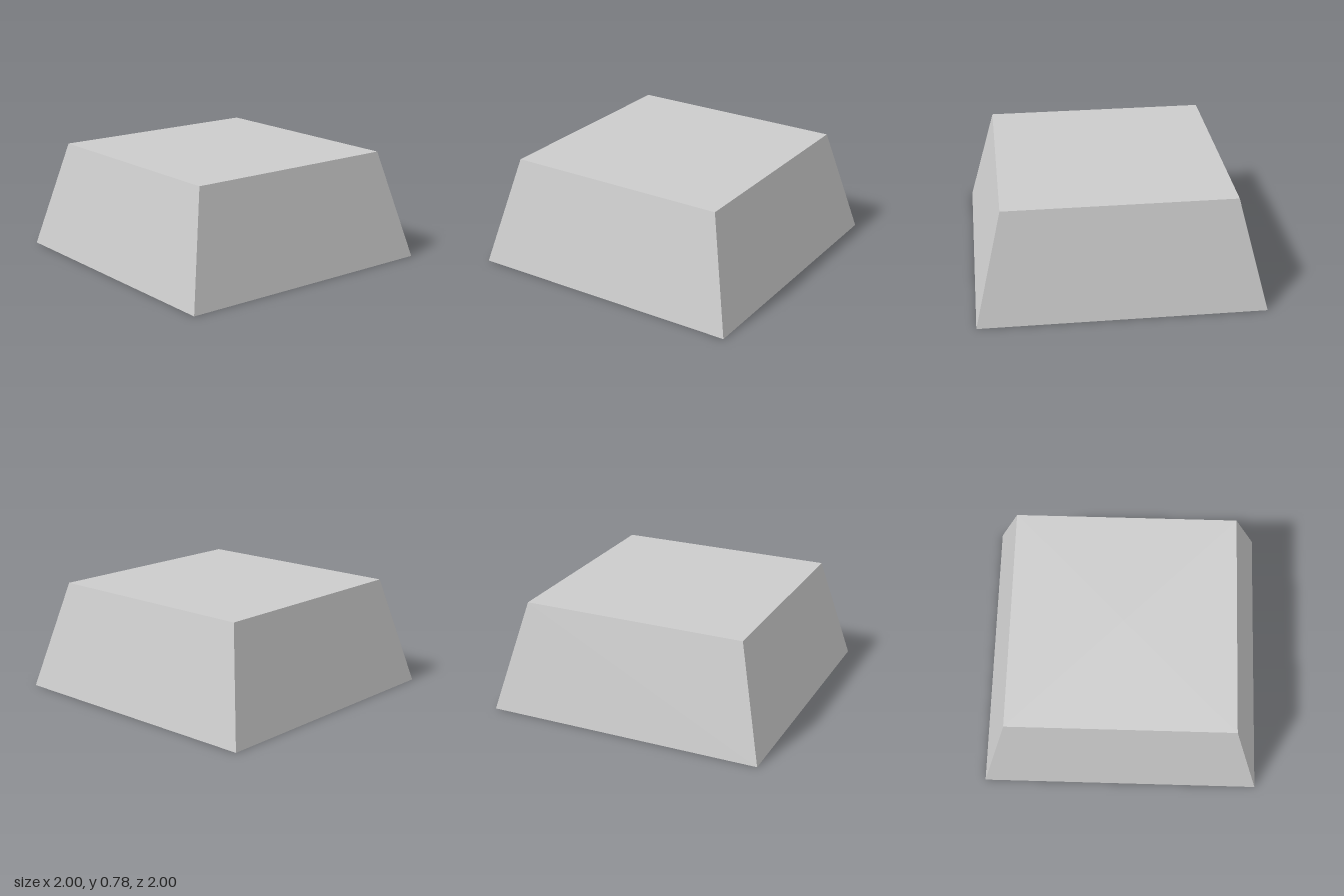
import * as THREE from 'three';
import { toCreasedNormals } from 'three/addons/utils/BufferGeometryUtils.js';

const HEIGHT = 0.78, CEILING = 0.63, STEM_BASE = 0.18;

// Hollow square frustum: a four-sided lathe, profile given as [half width, y]
function shellGeometry() {
  const profile = [
    [0, CEILING], [0.68, CEILING], [0.845, 0],   // inside
    [1, 0], [0.805, HEIGHT], [0, HEIGHT],        // rim and outside
  ].map(([half, y]) => new THREE.Vector2(half * Math.SQRT2, y));
  const geometry = new THREE.LatheGeometry(profile, 4, Math.PI / 4).toNonIndexed();
  geometry.computeVertexNormals();
  return geometry;
}

// Round post with a cross-shaped socket, hanging from the ceiling
function stemGeometry() {
  const radius = 0.305, arm = 0.222, w = 0.072;
  const shape = new THREE.Shape().absarc(0, 0, radius, 0, Math.PI * 2, false);
  const cross = [];
  for (let i = 0; i < 4; i++) {
    for (const [x, y] of [[arm, -w], [arm, w], [w, w]]) {
      cross.push(new THREE.Vector2(x, y).rotateAround(new THREE.Vector2(), i * Math.PI / 2));
    }
  }
  shape.holes.push(new THREE.Path(cross));
  const geometry = new THREE.ExtrudeGeometry(shape, {
    depth: CEILING - STEM_BASE, bevelEnabled: false, curveSegments: 48,
  });
  geometry.rotateX(-Math.PI / 2).translate(0, STEM_BASE, 0);
  return toCreasedNormals(geometry, 0.5);
}

export function createModel() {
  const plastic = new THREE.MeshStandardMaterial({ color: 0xcccccc });
  plastic.name = 'light grey plastic';

  const group = new THREE.Group();
  group.name = 'keycap';
  const parts = { shell: shellGeometry(), stem: stemGeometry() };
  for (const [name, geometry] of Object.entries(parts)) {
    const mesh = new THREE.Mesh(geometry, plastic);
    mesh.name = name;
    group.add(mesh);
  }
  return group;
}
